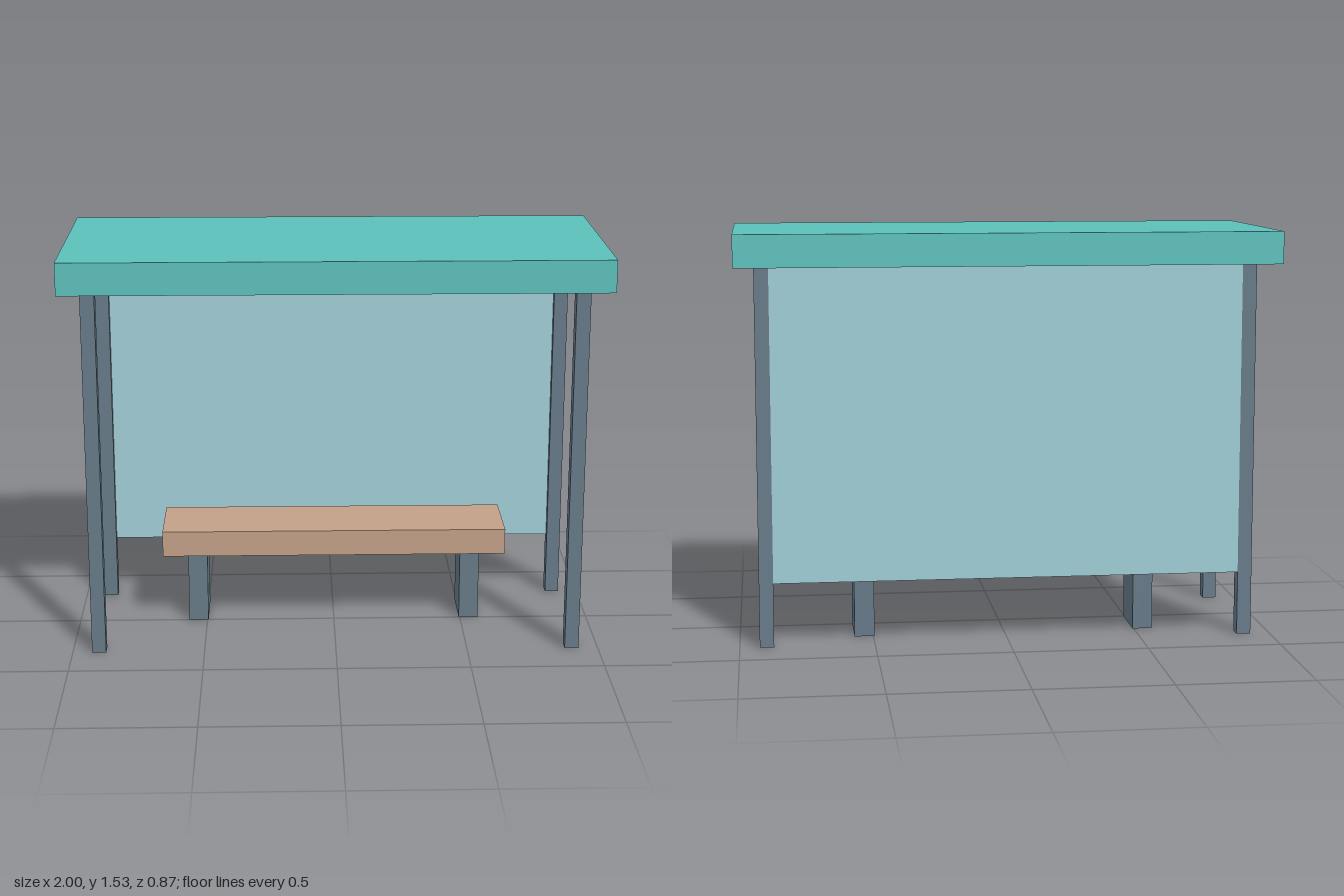
import * as THREE from 'three';

const mat = (color) => new THREE.MeshStandardMaterial({ color });

export function createModel() {
  const shelter = new THREE.Group();
  shelter.name = 'busShelter';

  const steel = mat(0x667a88);
  const roofMat = mat(0x5cc0bb);
  const glass = mat(0xa0cdd5);
  const wood = mat(0xc2a088);

  // Box given by its size, base height and centre in x and z
  const box = (name, material, [w, h, d], x, base, z, parent = shelter) => {
    const mesh = new THREE.Mesh(new THREE.BoxGeometry(w, h, d), material);
    mesh.name = name;
    mesh.position.set(x, base + h / 2, z);
    parent.add(mesh);
    return mesh;
  };

  // Flat slab roof
  box('roof', roofMat, [2, 0.12, 0.867], 0, 1.41, 0);

  // Four corner posts
  for (const [side, x] of [['Left', 0.9], ['Right', -0.9]]) {
    box(`front${side}Post`, steel, [0.053, 1.41, 0.053], x, 0, 0.3);
    box(`back${side}Post`, steel, [0.053, 1.41, 0.053], x, 0, -0.3);
  }

  // Rear panel between the back posts, raised off the ground
  box('backPanel', glass, [1.747, 1.17, 0.027], 0, 0.24, -0.313);

  // Bench: plank seat on two block legs
  const bench = new THREE.Group();
  bench.name = 'bench';
  shelter.add(bench);
  box('seat', wood, [1.333, 0.1, 0.3], 0, 0.285, -0.1, bench);
  box('leftBenchLeg', steel, [0.075, 0.285, 0.2], 0.533, 0, -0.1, bench);
  box('rightBenchLeg', steel, [0.075, 0.285, 0.2], -0.533, 0, -0.1, bench);

  return shelter;
}
